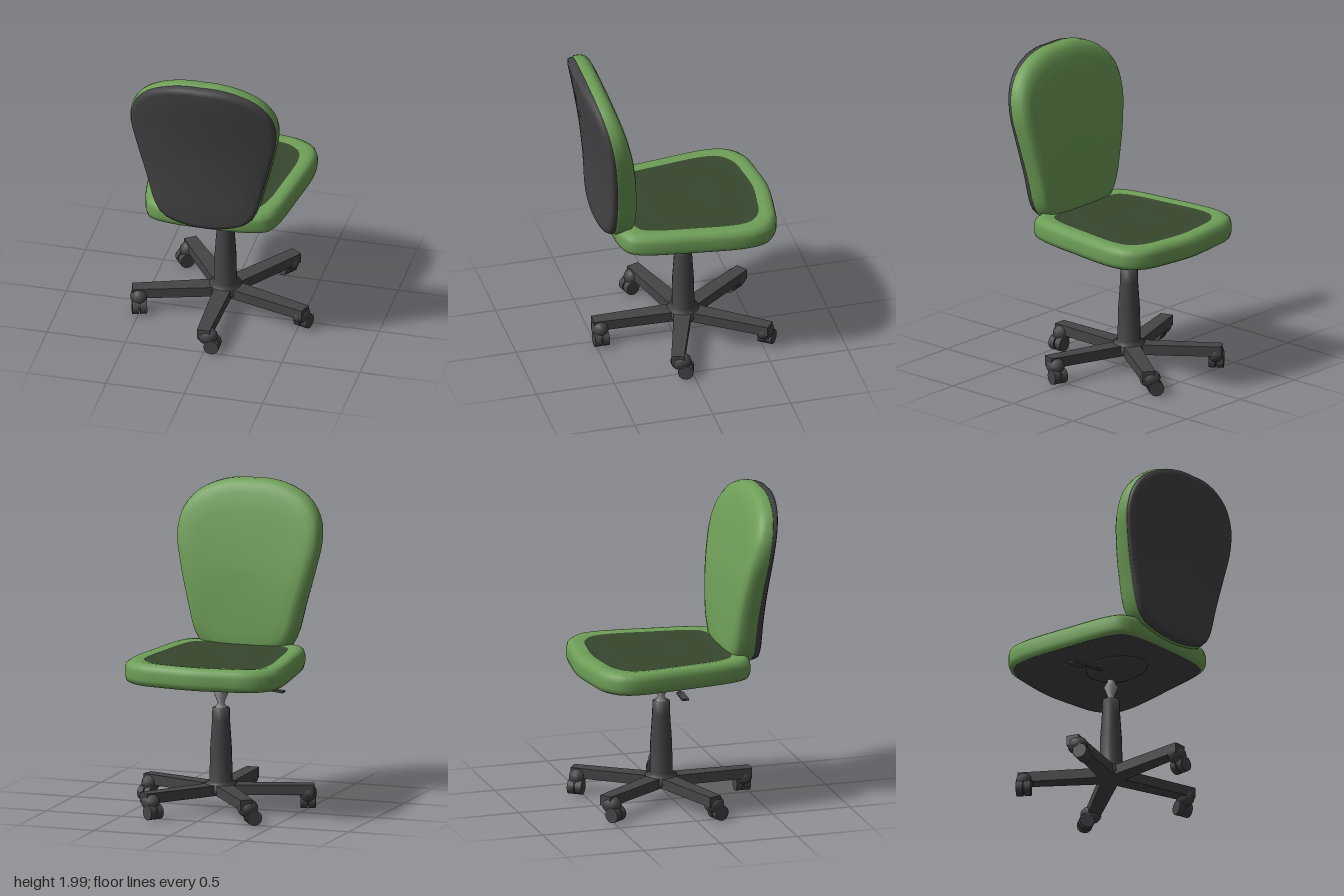
import * as THREE from 'three';

const mat = (color) => new THREE.MeshStandardMaterial({ color, roughness: 0.9 });
const green = mat(0x6f9f58);
const darkGreen = mat(0x37472d);
const dark = mat(0x454547);
const metal = mat(0x8c8c8c);

function part(name, geometry, material, parent) {
  const m = new THREE.Mesh(geometry, material);
  m.name = name;
  parent.add(m);
  return m;
}

// Mirror a half outline (bottom to top along +x) into a smooth closed loop.
function outline(half, n = 64) {
  const left = half.slice(1, -1).reverse().map(([x, q]) => [-x, q]);
  const pts = [...half, ...left].map(([x, q]) => new THREE.Vector3(x, q, 0));
  return new THREE.CatmullRomCurve3(pts, true, 'centripetal').getSpacedPoints(n).slice(0, n);
}

// Skin rings of [scale, height]; each ring is the outline scaled about centre cq.
function loft(loop, cq, rings, place) {
  const pos = [], idx = [], n = loop.length;
  for (const [s, h] of rings)
    for (const p of loop) pos.push(...place(p.x * s, cq + (p.y - cq) * s, h));
  for (let j = 0; j < rings.length - 1; j++)
    for (let i = 0; i < n; i++) {
      const a = j * n + i, b = j * n + (i + 1) % n, c = b + n, d = a + n;
      if (rings[j][0] === 0) idx.push(a, c, d);
      else if (rings[j + 1][0] === 0) idx.push(a, b, d);
      else idx.push(a, b, d, b, c, d);
    }
  const g = new THREE.BufferGeometry();
  g.setAttribute('position', new THREE.Float32BufferAttribute(pos, 3));
  g.setIndex(idx);
  g.computeVertexNormals();
  return g;
}

export function createModel() {
  const chair = new THREE.Group();
  chair.name = 'swivelChair';

  // Seat: dark underside, green padded rim, darker sunken centre
  const seat = new THREE.Group();
  seat.name = 'seat';
  chair.add(seat);
  const seatLoop = outline([[0, -0.43], [0.25, -0.42], [0.38, -0.38], [0.425, -0.28], [0.47, 0],
    [0.508, 0.38], [0.48, 0.49], [0.38, 0.57], [0.2, 0.605], [0, 0.625]]);
  const onSeat = (x, q, h) => [x, h, -q];
  const seatPart = (name, rings, m) => part(name, loft(seatLoop, 0.1, rings, onSeat), m, seat);
  seatPart('seatUnderside', [[0, 0.855], [0.5, 0.855], [0.95, 0.86]], dark);
  seatPart('seatRim', [[0.95, 0.86], [0.985, 0.872], [1, 0.9], [1, 0.95], [0.985, 0.98],
    [0.94, 0.997], [0.88, 1], [0.8, 0.994]], green);
  seatPart('seatPanel', [[0.8, 0.994], [0.74, 0.986], [0.6, 0.99], [0.3, 0.988], [0, 0.986]], darkGreen);

  // Backrest: green cushion thinning upwards, dark rear shell bowed across its width
  const back = new THREE.Group();
  back.name = 'backrest';
  chair.add(back);
  const backLoop = outline([[0, 0.9], [0.17, 0.92], [0.27, 0.96], [0.325, 1.04], [0.38, 1.24],
    [0.44, 1.48], [0.47, 1.65], [0.45, 1.79], [0.37, 1.9], [0.24, 1.97], [0.1, 2], [0, 2]]);
  const onBack = (x, y, d) => {
    const k = Math.max(0, (y - 1.1) / 0.9);
    const swell = d < 0 ? 1 - 0.4 * k ** 3 : 1 - 0.5 * (x / 0.47) ** 2;
    return [x, y, 0.42 + 0.13 * k ** 1.7 + d * swell];
  };
  const backPart = (name, rings, m) => part(name, loft(backLoop, 1.45, rings, onBack), m, back);
  backPart('backCushion', [[0, -0.1], [0.25, -0.1], [0.5, -0.105], [0.7, -0.11], [0.85, -0.115],
    [0.94, -0.105], [0.985, -0.08], [1, -0.04], [1, 0.015], [0.985, 0.025]], green);
  backPart('backShell', [[0.985, 0.02], [0.985, 0.05], [0.97, 0.072], [0.92, 0.085], [0.7, 0.09],
    [0.5, 0.09], [0.25, 0.09], [0, 0.09]], dark);

  // Mount bowl and height lever under the seat
  const bowl = [[0, 0.793], [0.1, 0.797], [0.15, 0.815], [0.205, 0.845], [0.21, 0.86]];
  const lathe = (pts, n) => new THREE.LatheGeometry(pts.map((p) => new THREE.Vector2(...p)), n);
  const mount = part('seatMount', lathe(bowl, 20), dark, chair);
  mount.scale.x = 0.8;
  mount.position.set(-0.02, 0, -0.005);
  const leverPath = new THREE.CatmullRomCurve3([[-0.08, 0.82, -0.03], [-0.22, 0.803, -0.035], [-0.32, 0.788, -0.04]]
    .map((p) => new THREE.Vector3(...p)));
  part('heightLever', new THREE.TubeGeometry(leverPath, 8, 0.008, 6), dark, chair);
  const paddle = part('leverPaddle', new THREE.BoxGeometry(0.12, 0.012, 0.045), dark, chair);
  paddle.position.set(-0.345, 0.784, -0.04);
  paddle.rotation.z = 0.1;

  // Pedestal: everything below turns about one vertical axis
  const base = new THREE.Group();
  base.name = 'base';
  base.position.z = -0.072;
  chair.add(base);
  part('gasStem', lathe([[0.045, 0.65], [0.02, 0.69], [0.045, 0.75], [0.022, 0.79], [0.03, 0.82]], 10), metal, base);
  part('column', lathe([[0, 0.11], [0.09, 0.115], [0.11, 0.14], [0.1, 0.185], [0.072, 0.2],
    [0.068, 0.4], [0.056, 0.58], [0.054, 0.66], [0, 0.67]], 16), dark, base);

  // Five tapered legs with twin-wheel casters
  for (let i = 0; i < 5; i++) {
    const leg = new THREE.Group();
    leg.name = 'leg' + (i + 1);
    leg.rotation.y = (i * 2 * Math.PI) / 5;
    base.add(leg);

    const armGeo = new THREE.BoxGeometry(0.1, 0.065, 0.55, 1, 1, 4);
    armGeo.translate(0, 0.148, 0.305);
    const p = armGeo.attributes.position;
    for (let k = 0; k < p.count; k++) p.setX(k, p.getX(k) * (1.1 - 0.5 * p.getZ(k)));
    armGeo.computeVertexNormals();
    part('legArm', armGeo, dark, leg);

    const hood = part('casterHood', new THREE.SphereGeometry(0.058, 12, 8), dark, leg);
    hood.position.set(0.018, 0.122, 0.54);
    hood.scale.set(1.15, 0.98, 0.95);
    for (const s of [-1, 1]) {
      const wheel = part('casterWheel', new THREE.CylinderGeometry(0.048, 0.048, 0.042, 12), dark, leg);
      wheel.rotation.x = Math.PI / 2;
      wheel.position.set(0.05, 0.064, 0.54 + s * 0.025);
    }
    const axle = part('casterAxle', new THREE.CylinderGeometry(0.036, 0.036, 0.04, 10), dark, leg);
    axle.rotation.x = Math.PI / 2;
    axle.position.set(0.05, 0.07, 0.54);
  }

  return chair;
}
